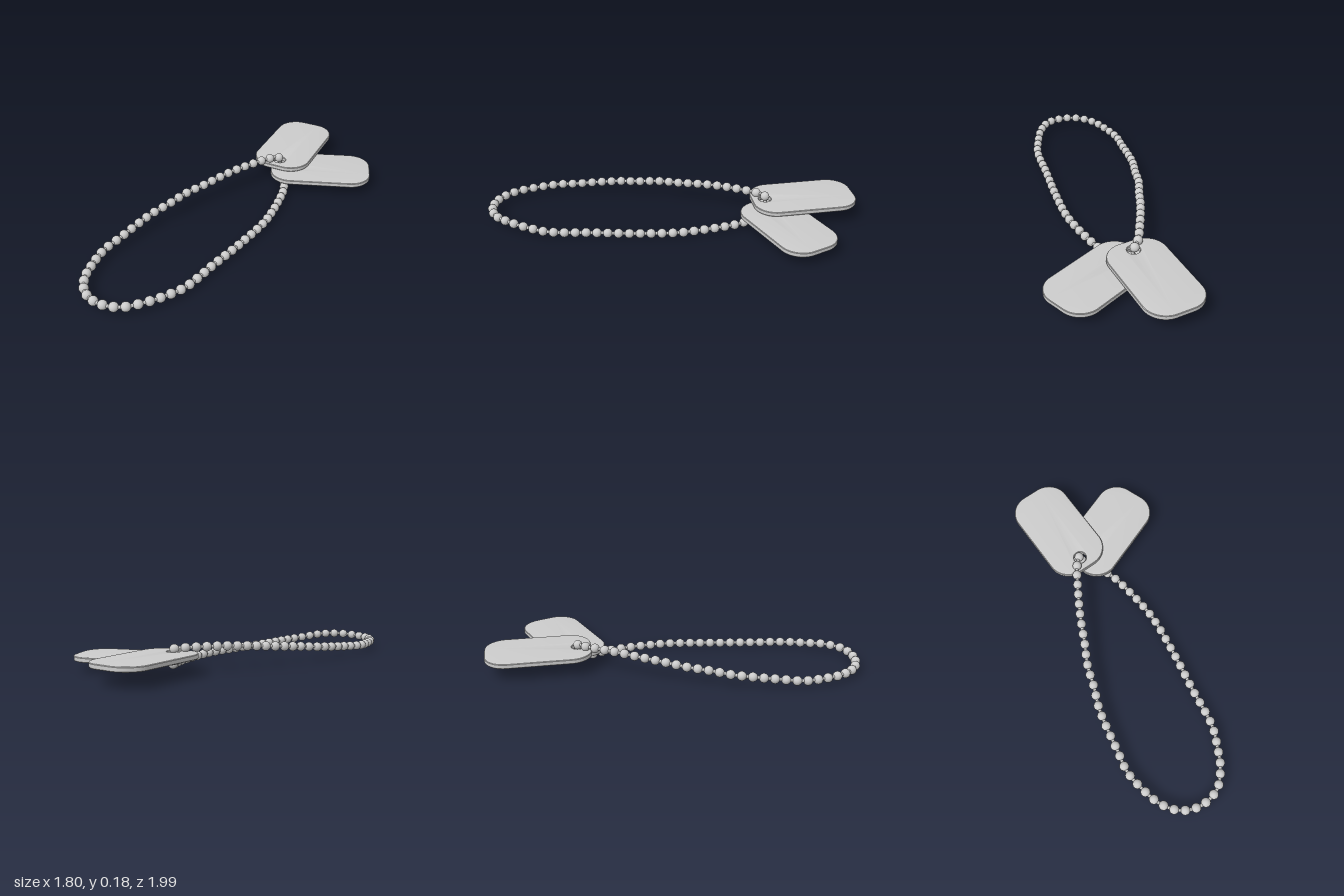
import * as THREE from 'three';
import { toCreasedNormals } from 'three/addons/utils/BufferGeometryUtils.js';

const material = new THREE.MeshStandardMaterial({ color: 0xcccccc });

// Flat rounded plate with a hole near its -x end, lying in the ground plane
function tagGeometry() {
  const L = 0.33, W = 0.188, r = 0.135, thickness = 0.032, bevel = 0.005;
  const shape = new THREE.Shape();
  shape.moveTo(-L + r, -W);
  shape.absarc(L - r, -W + r, r, -Math.PI / 2, 0);
  shape.absarc(L - r, W - r, r, 0, Math.PI / 2);
  shape.absarc(-L + r, W - r, r, Math.PI / 2, Math.PI);
  shape.absarc(-L + r, -W + r, r, Math.PI, Math.PI * 1.5);
  const hole = new THREE.Path();
  hole.absarc(-0.247, 0, 0.04, 0, Math.PI * 2, true);
  shape.holes.push(hole);
  const geometry = new THREE.ExtrudeGeometry(shape, {
    depth: thickness - 2 * bevel, curveSegments: 16,
    bevelEnabled: true, bevelThickness: bevel, bevelSize: 0.01, bevelOffset: -0.01, bevelSegments: 2,
  });
  geometry.rotateX(-Math.PI / 2);
  geometry.translate(0, bevel, 0);
  return toCreasedNormals(geometry, 0.6);
}

// Closed loop of the chain, threading up through both tag holes
const chainPoints = [
  [0.29, 0.145, -0.455], [0.225, 0.15, -0.435], [0.12, 0.15, -0.375], [0.01, 0.147, -0.307],
  [-0.1, 0.138, -0.233], [-0.21, 0.126, -0.15], [-0.325, 0.115, -0.07], [-0.425, 0.102, 0.026],
  [-0.53, 0.088, 0.117], [-0.62, 0.076, 0.222], [-0.706, 0.064, 0.333], [-0.79, 0.055, 0.44],
  [-0.84, 0.052, 0.566], [-0.87, 0.052, 0.7], [-0.85, 0.053, 0.825], [-0.77, 0.057, 0.92],
  [-0.643, 0.063, 0.963], [-0.515, 0.062, 0.926], [-0.405, 0.05, 0.857], [-0.304, 0.042, 0.778],
  [-0.146, 0.038, 0.57], [0.013, 0.034, 0.365], [0.167, 0.034, 0.143], [0.225, 0.034, 0.02],
  [0.27, 0.034, -0.095], [0.31, 0.033, -0.228], [0.318, 0.036, -0.34], [0.305, 0.06, -0.43],
];

export function createModel() {
  const model = new THREE.Group();
  const add = (name, geometry, parent = model) => {
    const mesh = new THREE.Mesh(geometry, material);
    mesh.name = name;
    parent.add(mesh);
    return mesh;
  };

  // Two overlapping tags
  const plate = tagGeometry();
  const upper = add('upperTag', plate);
  upper.position.set(0.408, 0.1, -0.672);
  upper.rotation.y = THREE.MathUtils.degToRad(63);
  const lower = add('lowerTag', plate);
  lower.position.set(0.567, 0.065, -0.397);
  lower.rotation.y = THREE.MathUtils.degToRad(-7);

  // Ball chain: thin link wire with evenly spaced beads
  const chain = new THREE.Group();
  chain.name = 'ballChain';
  model.add(chain);
  const curve = new THREE.CatmullRomCurve3(
    chainPoints.map((p) => new THREE.Vector3(...p)), true, 'centripetal');
  add('linkWire', new THREE.TubeGeometry(curve, 240, 0.011, 8, true), chain);
  const ball = new THREE.SphereGeometry(0.029, 18, 12);
  const count = Math.round(curve.getLength() / 0.0665);
  for (let i = 0; i < count; i++) {
    add('bead', ball, chain).position.copy(curve.getPointAt(i / count));
  }
  return model;
}
